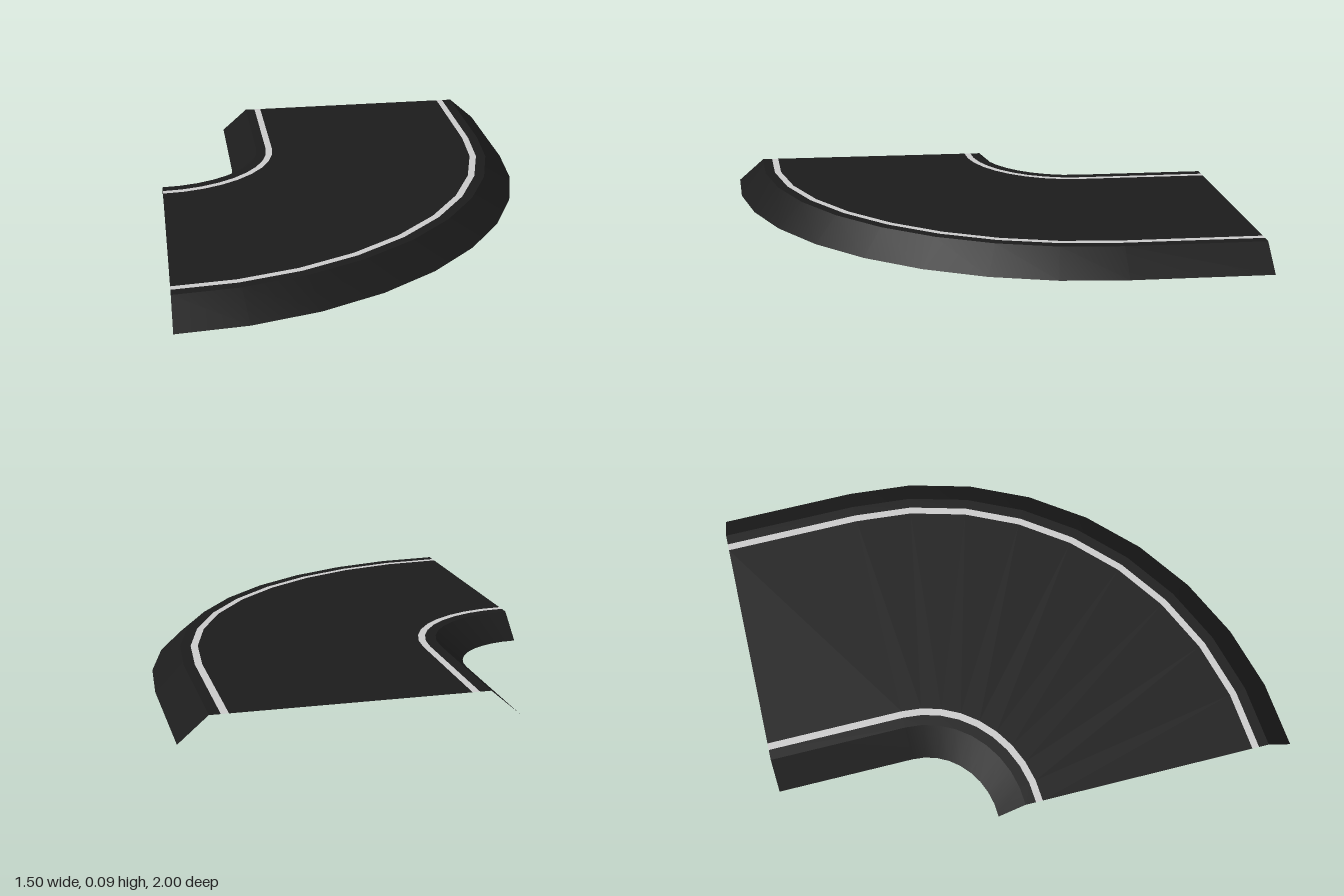
import * as THREE from 'three';

const CX = -0.75, CZ = -0.465; // pivot of the bend
const STEPS = 9;

// Path at a given half-width from the pivot: a short straight, then a quarter bend
function pathPoints(r) {
  const pts = [[CX + r, -1]];
  for (let i = 0; i <= STEPS; i++) {
    const a = (i / STEPS) * Math.PI / 2;
    pts.push([CX + r * Math.cos(a), CZ + (r - 0.032) * Math.sin(a)]);
  }
  return pts;
}

// Open ribbon between two radii, each with its own height
function ribbon(name, [r0, y0], [r1, y1], material) {
  const inner = pathPoints(r0), outer = pathPoints(r1);
  const pos = [], index = [];
  inner.forEach(([x, z], i) => {
    pos.push(x, y0, z, outer[i][0], y1, outer[i][1]);
    if (i > 0) {
      const a = 2 * (i - 1);
      index.push(a, a + 2, a + 1, a + 1, a + 2, a + 3);
    }
  });
  const geo = new THREE.BufferGeometry();
  geo.setAttribute('position', new THREE.Float32BufferAttribute(pos, 3));
  geo.setIndex(index);
  geo.computeVertexNormals();
  const mesh = new THREE.Mesh(geo, material);
  mesh.name = name;
  return mesh;
}

export function createModel() {
  const group = new THREE.Group();
  group.name = 'roadBend';
  const asphalt = new THREE.MeshStandardMaterial({ color: 0x1c1c1c, side: THREE.DoubleSide });
  const paint = new THREE.MeshStandardMaterial({ color: 0xcccccc, side: THREE.DoubleSide });

  // Cross-section from the inside of the bend to the outside: [radius, height]
  const H = 0.093;
  const profile = [
    [0.305, 0], [0.412, H], [0.453, H], [0.48, H],
    [1.323, H], [1.35, H], [1.39, H], [1.497, 0],
  ];
  const parts = [
    ['innerBank', asphalt], ['innerShoulder', asphalt], ['innerLine', paint],
    ['roadway', asphalt],
    ['outerLine', paint], ['outerShoulder', asphalt], ['outerBank', asphalt],
  ];
  parts.forEach(([name, mat], i) => group.add(ribbon(name, profile[i], profile[i + 1], mat)));
  return group;
}
